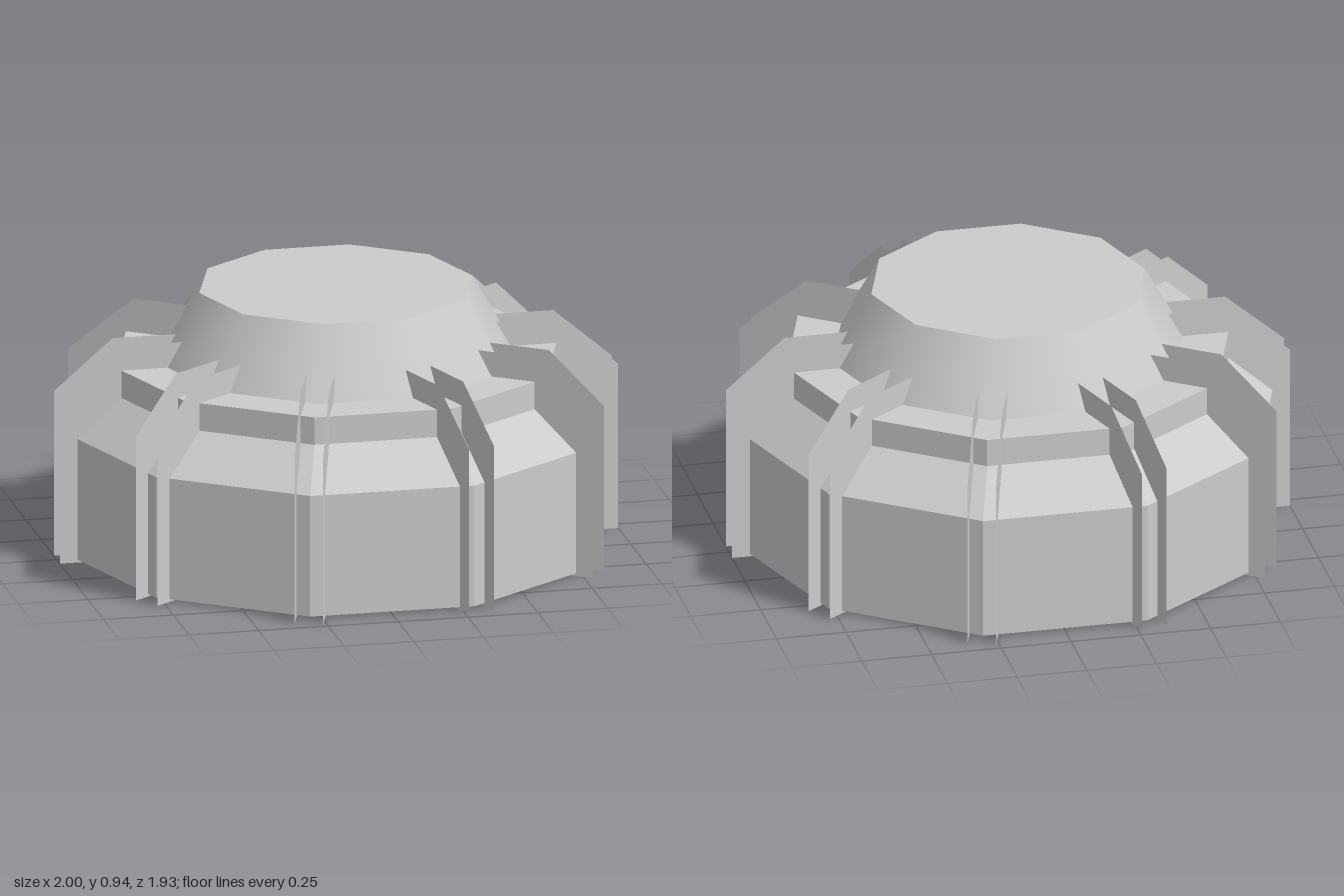
import * as THREE from 'three';

const SIDES = 10;
const grey = (flatShading) =>
  new THREE.MeshStandardMaterial({ color: 0xcccccc, flatShading, side: THREE.DoubleSide });

function addMesh(parent, name, geometry, material) {
  const mesh = new THREE.Mesh(geometry, material);
  mesh.name = name;
  parent.add(mesh);
  return mesh;
}

// Rib cross-section as [radius, height]: outer edge, then inner edge
const ribOuter = [[1, 0], [1, 0.6], [0.79, 0.78], [0.54, 0.78]];
const ribInner = [[0.54, 0.64], [0.73, 0.58], [0.87, 0.43], [0.87, 0]];
const RIB_HALF = 0.05;

// Strip that joins the two fins along their inner edge
function innerStripGeometry() {
  const geometry = new THREE.PlaneGeometry(1, 1, 1, ribInner.length - 1);
  const pos = geometry.attributes.position;
  for (let i = 0; i < pos.count; i++) {
    const [r, y] = ribInner[Math.floor(i / 2)];
    pos.setXYZ(i, r, y, i % 2 ? RIB_HALF : -RIB_HALF);
  }
  geometry.computeVertexNormals();
  return geometry;
}

export function createModel() {
  const model = new THREE.Group();
  model.name = 'ribbedDome';
  const flat = grey(true);
  const smooth = grey(false);

  // Hollow ten-sided shell with a sloped shoulder and a step
  const profile = [[0.953, 0.01], [0.953, 0.45], [0.795, 0.59], [0.795, 0.69], [0.63, 0.69]]
    .map(([r, y]) => new THREE.Vector2(r, y));
  addMesh(model, 'shell', new THREE.LatheGeometry(profile, SIDES, Math.PI / 2), flat);

  // Smooth tapered crown and its flat lid
  const crown = addMesh(model, 'crown',
    new THREE.CylinderGeometry(0.49, 0.63, 0.25, SIDES, 1, true, Math.PI / 2), smooth);
  crown.position.y = 0.815;
  const lid = addMesh(model, 'crownLid', new THREE.CircleGeometry(0.49, SIDES), flat);
  lid.rotation.x = -Math.PI / 2;
  lid.position.y = 0.94;

  // A pair of thin fins at every corner, joined on the inside
  const finShape = new THREE.Shape([...ribOuter, ...ribInner].map(([r, y]) => new THREE.Vector2(r, y)));
  const finGeometry = new THREE.ShapeGeometry(finShape);
  const stripGeometry = innerStripGeometry();
  for (let i = 0; i < SIDES; i++) {
    const rib = new THREE.Group();
    rib.name = 'rib' + (i + 1);
    for (const side of [-1, 1]) {
      addMesh(rib, side < 0 ? 'finA' : 'finB', finGeometry, flat).position.z = side * RIB_HALF;
    }
    addMesh(rib, 'innerStrip', stripGeometry, flat);
    rib.rotation.y = (i / SIDES) * Math.PI * 2;
    model.add(rib);
  }
  return model;
}
